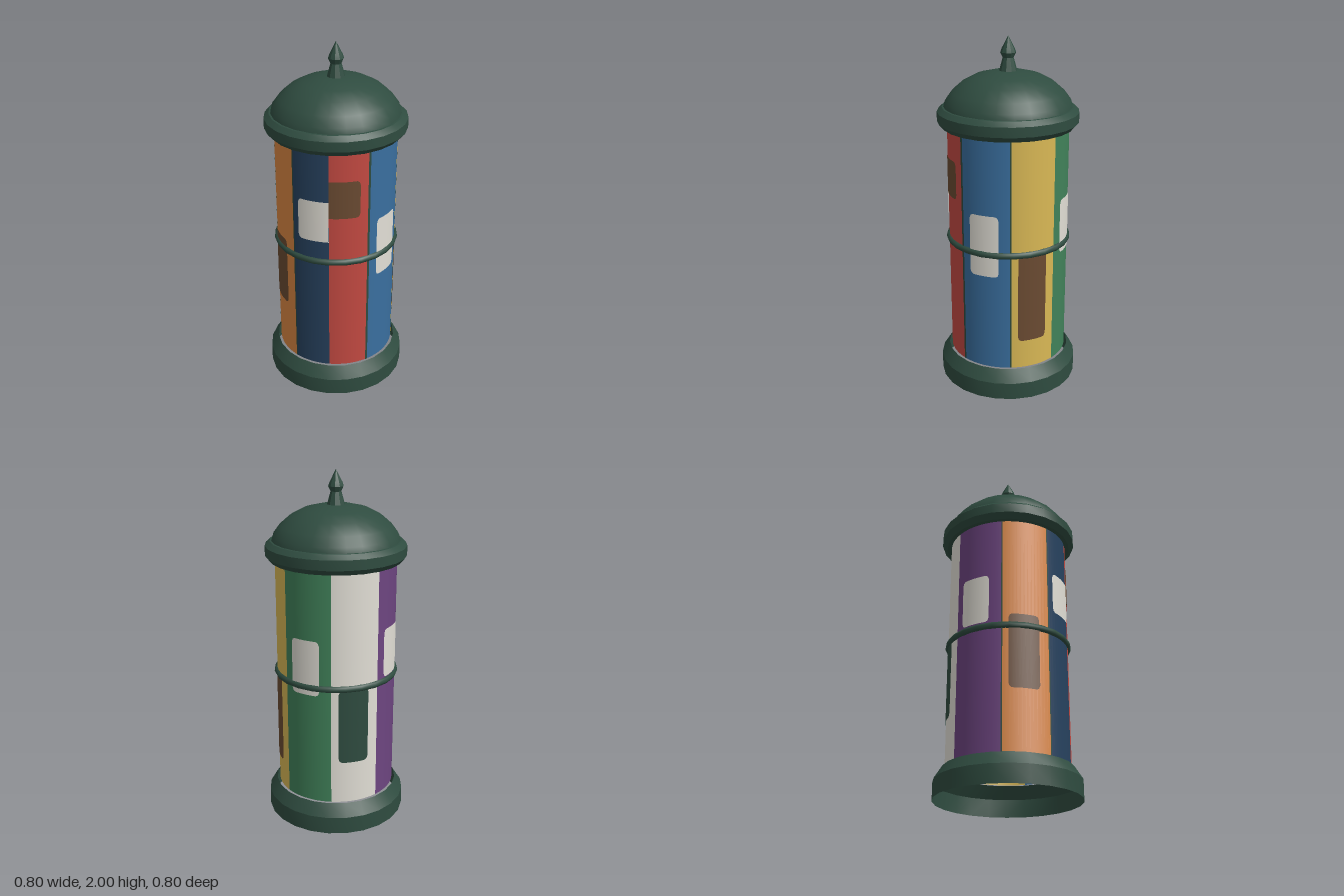
import * as THREE from 'three';
import { toCreasedNormals } from 'three/addons/utils/BufferGeometryUtils.js';

const R = 0.338; // poster drum radius
const BOTTOM = 0.17;
const TOP = 1.53;
const rad = THREE.MathUtils.degToRad;

function material(name, color) {
  const m = new THREE.MeshStandardMaterial({ color, side: THREE.DoubleSide });
  m.name = name;
  return m;
}

function mesh(name, geometry, mat) {
  const m = new THREE.Mesh(geometry, mat);
  m.name = name;
  return m;
}

// Turned part with crisp rims; profile runs from bottom to top as [radius, y]
function turned(profile, sides) {
  const points = profile.map(([r, y]) => new THREE.Vector2(r, y));
  return toCreasedNormals(new THREE.LatheGeometry(points, sides), 0.5);
}

// Curved sheet from angle a to b, measured in degrees from the front toward +x
function sheet(a, b, y0, y1, radius) {
  const segments = Math.max(1, Math.ceil((b - a) / 3.75));
  const g = new THREE.CylinderGeometry(radius, radius, y1 - y0, segments, 1, true, rad(a), rad(b - a));
  return g.translate(0, (y0 + y1) / 2, 0);
}

// Curved patch with rounded corners on the chosen ends
function patch(a, b, y0, y1, roundStart = true, roundEnd = true) {
  const r = R + 0.003, c = 0.025;
  const g = new THREE.PlaneGeometry(1, 1, 28, 1);
  const p = g.attributes.position, n = g.attributes.normal;
  for (let i = 0; i < p.count; i++) {
    const t = p.getX(i) + 0.5;
    const angle = rad(a + (b - a) * t);
    const width = rad(b - a) * r;
    const d = Math.min(roundStart ? t * width : c, roundEnd ? (1 - t) * width : c, c);
    const inset = c - Math.sqrt(Math.max(0, c * c - (c - d) ** 2));
    const y = p.getY(i) > 0 ? y1 - inset : y0 + inset;
    p.setXYZ(i, Math.sin(angle) * r, y, Math.cos(angle) * r);
    n.setXYZ(i, Math.sin(angle), 0, Math.cos(angle));
  }
  return g;
}

export function createModel() {
  const group = new THREE.Group();
  group.name = 'advertisingColumn';

  const iron = material('darkGreenIron', 0x2f4c40);
  const navy = material('navy', 0x27425f);
  const red = material('red', 0xc44a42);
  const blue = material('blue', 0x3a6f9f);
  const yellow = material('yellow', 0xd9b855);
  const green = material('green', 0x41825a);
  const white = material('offWhite', 0xe2dfd6);
  const purple = material('purple', 0x6d4580);
  const orange = material('orange', 0xdc8843);
  const brown = material('brown', 0x6b4b32);

  // Hollow base skirt
  group.add(mesh('base', turned([[0.4, 0], [0.4, 0.1], [0.355, 0.17]], 24), iron));

  // Poster panels around the drum
  const posters = new THREE.Group();
  posters.name = 'posters';
  [
    ['redPoster', 0, 38, red],
    ['bluePoster', 38, 87.5, blue],
    ['yellowPoster', 87.5, 133, yellow],
    ['greenPoster', 133, 182, green],
    ['whitePoster', 182, 229, white],
    ['purplePoster', 229, 278, purple],
    ['orangePoster', 278, 324, orange],
    ['navyPoster', 324, 360, navy],
  ].forEach(([name, a, b, mat]) => posters.add(mesh(name, sheet(a, b, BOTTOM, TOP, R), mat)));

  // Narrow dark seams between some posters
  [[37, 39.2], [86.8, 88.2], [277.4, 278.6], [323.4, 324.6]].forEach(([a, b]) =>
    posters.add(mesh('seam', sheet(a, b, BOTTOM, TOP, R + 0.0015), iron)));

  // Blocks printed on the posters
  [
    ['navyPosterBlock', white, 330, 360, 0.99, 1.23, true, false],
    ['redPosterBlock', brown, 0, 29, 1.135, 1.35, false, true],
    ['bluePosterBlock', white, 47.5, 76.5, 0.735, 1.09],
    ['yellowPosterBlock', brown, 94.5, 123, 0.34, 0.87],
    ['greenPosterBlock', white, 142, 171, 0.82, 1.135],
    ['whitePosterBlock', iron, 189, 218, 0.42, 0.86],
    ['purplePosterBlock', white, 237, 266, 0.89, 1.17],
    ['orangePosterBlock', brown, 284, 313, 0.51, 0.93],
  ].forEach(([name, mat, ...args]) => posters.add(mesh(name, patch(...args), mat)));
  group.add(posters);

  // Band around the middle
  const band = new THREE.TorusGeometry(0.336, 0.02, 8, 24).rotateX(Math.PI / 2).translate(0, 0.865, 0);
  group.add(mesh('band', band, iron));

  // Overhanging eave and dome
  group.add(mesh('eave', turned([
    [0.335, 1.51], [0.365, 1.51], [0.392, 1.54], [0.392, 1.595], [0.365, 1.62], [0.352, 1.622],
  ], 24), iron));
  group.add(mesh('dome', turned([
    [0.357, 1.615], [0.347, 1.65], [0.31, 1.7], [0.25, 1.752], [0.18, 1.788], [0.09, 1.81], [0, 1.815],
  ], 24), iron));

  // Pointed finial
  group.add(mesh('finial', turned([
    [0.05, 1.81], [0.03, 1.882], [0.043, 1.91], [0.036, 1.93], [0, 2],
  ], 10), iron));

  return group;
}
